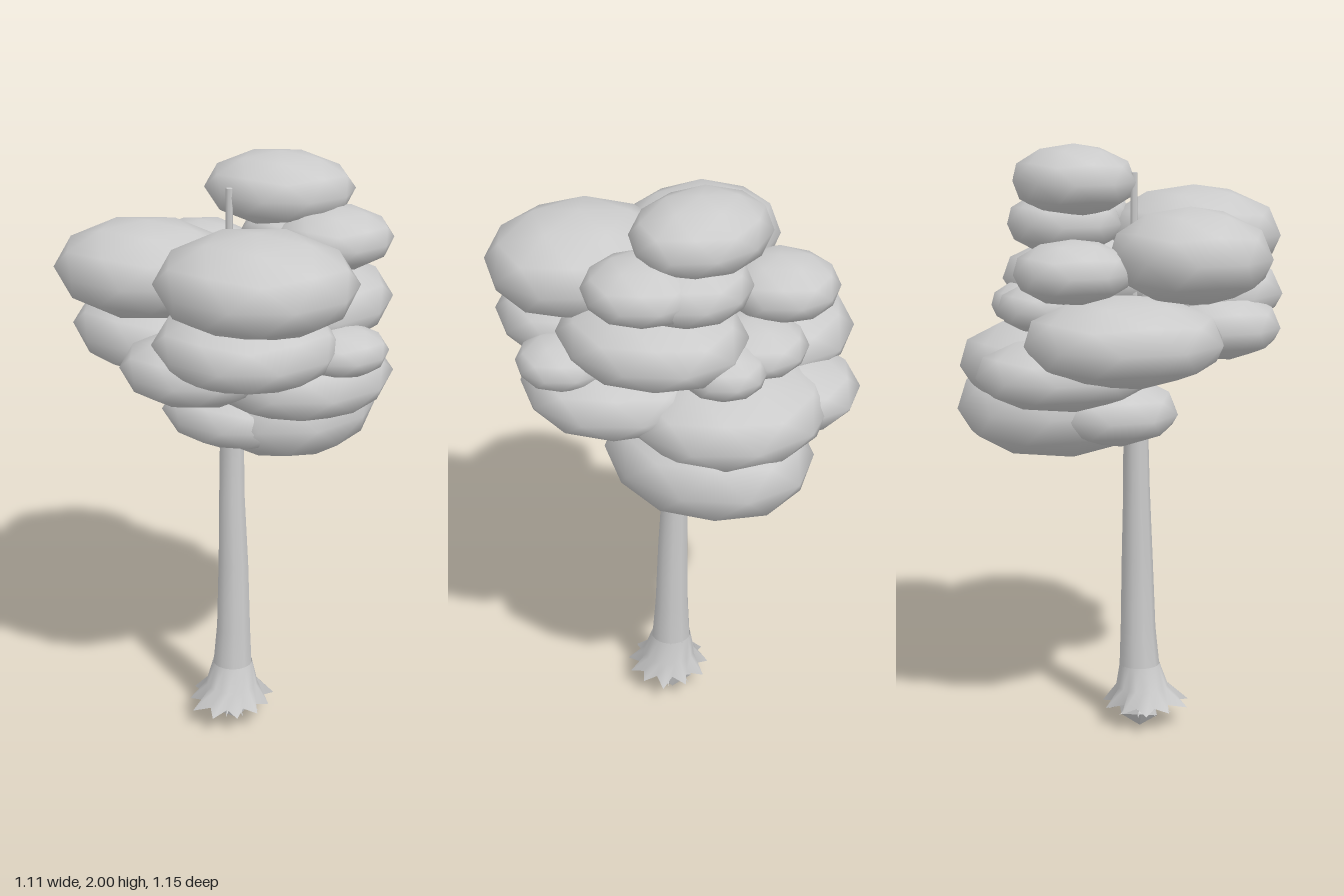
import * as THREE from 'three';

const grey = new THREE.MeshStandardMaterial({ color: 0xcccccc });
const greyThin = new THREE.MeshStandardMaterial({ color: 0xcccccc, side: THREE.DoubleSide });
const greyFlat = new THREE.MeshStandardMaterial({ color: 0xcccccc, flatShading: true });

function seeded(seed) {
  let s = seed;
  return () => (s = (s * 16807) % 2147483647) / 2147483647;
}

function add(group, name, geometry, material = grey) {
  const mesh = new THREE.Mesh(geometry, material);
  mesh.name = name;
  group.add(mesh);
  return mesh;
}

// Skin a stack of rings of points, listed upwards
function skin(rings) {
  const n = rings[0].length, pos = [], idx = [];
  rings.forEach(r => r.forEach(p => pos.push(p.x, p.y, p.z)));
  for (let i = 0; i < rings.length - 1; i++) {
    for (let j = 0; j < n; j++) {
      const a = i * n + j, b = i * n + (j + 1) % n;
      idx.push(a, a + n, b, b, a + n, b + n);
    }
  }
  const g = new THREE.BufferGeometry();
  g.setAttribute('position', new THREE.Float32BufferAttribute(pos, 3));
  g.setIndex(idx);
  g.computeVertexNormals();
  return g;
}

function circle(x, y, z, radius, sides) {
  return Array.from({ length: sides }, (_, j) => {
    const a = (j / sides) * Math.PI * 2;
    return new THREE.Vector3(x + radius * Math.cos(a), y, z + radius * Math.sin(a));
  });
}

// Leaf clumps: centre x, y, z then radii x, y, z
const clumps = [
  [[0.12, 1.88, -0.17], [0.25, 0.12, 0.207]],
  [[0.168, 1.69, 0.27], [0.323, 0.162, 0.3]],
  [[-0.24, 1.66, 0.11], [0.307, 0.157, 0.26]],
  [[0.32, 1.75, -0.10], [0.195, 0.1, 0.19]],
  [[0.2, 1.735, -0.18], [0.21, 0.11, 0.197]],
  [[-0.18, 1.615, -0.265], [0.19, 0.105, 0.195]],
  [[0.24, 1.55, -0.07], [0.28, 0.137, 0.315]],
  [[0.14, 1.495, 0.28], [0.297, 0.132, 0.293]],
  [[-0.03, 1.4, 0.28], [0.24, 0.115, 0.215]],
  [[0.4, 1.46, 0.15], [0.163, 0.082, 0.155]],
  [[0.0, 1.48, -0.28], [0.18, 0.09, 0.185]],
  [[0.18, 1.47, -0.3], [0.137, 0.082, 0.14]],
  [[-0.26, 1.4, -0.12], [0.31, 0.147, 0.33]],
  [[0.25, 1.345, 0.065], [0.308, 0.135, 0.31]],
  [[-0.13, 1.285, -0.285], [0.255, 0.12, 0.29]],
  [[0.08, 1.29, -0.25], [0.345, 0.155, 0.325]],
  [[0.14, 1.135, -0.22], [0.307, 0.182, 0.352]],
  [[0.02, 1.125, -0.085], [0.275, 0.115, 0.235]],
];

export function createModel() {
  const tree = new THREE.Group();
  tree.name = 'tree';
  const rand = seeded(421);

  // Canopy of flattened, smooth low-poly balls with a corner at each pole
  const canopy = new THREE.Group();
  canopy.name = 'canopy';
  tree.add(canopy);
  const ball = new THREE.IcosahedronGeometry(1, 1);
  ball.rotateZ(-Math.atan(2 / (1 + Math.sqrt(5))));
  clumps.forEach(([centre, radii], i) => {
    const mesh = add(canopy, `leafClump${i + 1}`, ball);
    mesh.position.set(...centre);
    mesh.scale.set(...radii);
  });

  // Trunk: x, y, z, radius, tapering up to the lowest clumps
  const trunk = [
    [0.02, 0.08, 0.03, 0.08], [0.02, 0.2, 0.027, 0.07], [0.022, 0.35, 0.022, 0.06],
    [0.02, 0.6, 0.018, 0.053], [0.013, 0.85, 0.013, 0.045], [0.012, 1.05, 0.01, 0.042],
  ];
  add(tree, 'trunk', skin(trunk.map(([x, y, z, r]) => circle(x, y, z, r, 10))));

  // Thin stem rising through the canopy
  const stem = add(tree, 'stem', new THREE.CylinderGeometry(0.012, 0.012, 0.64, 6));
  stem.position.set(0, 1.59, 0);

  // Ragged flare of roots: alternate rim points reach out or draw in
  const sides = 22;
  const rim = circle(0, 0, 0, 1, sides).map((p, j) => {
    const reach = j % 2 ? 0.095 + rand() * 0.02 : 0.135 + rand() * 0.025;
    return new THREE.Vector3(0.022 + p.x * reach, j % 2 ? 0.085 : 0.075, 0.045 + p.z * reach);
  });
  add(tree, 'rootFlare', skin([
    rim,
    circle(0.02, 0.14, 0.036, 0.09, sides),
    circle(0.02, 0.22, 0.027, 0.069, sides),
  ]), greyThin);

  // Faceted root ball under the flare
  const rootBall = add(tree, 'rootBall', new THREE.IcosahedronGeometry(1, 0), greyFlat);
  rootBall.position.set(0.02, 0.06, 0.02);
  rootBall.rotation.set(0.3, 0.4, 0.1);
  rootBall.scale.set(0.075, 0.06, 0.075);

  // Thin loose rootlets around the base
  for (let i = 0; i < 9; i++) {
    const a = i * 0.7 + rand() * 0.3;
    const rootlet = add(tree, `rootlet${i + 1}`, new THREE.ConeGeometry(0.012, 0.09, 4), greyFlat);
    rootlet.position.set(0.02 + Math.cos(a) * 0.07, 0.07, 0.035 + Math.sin(a) * 0.07);
    rootlet.rotation.set(0, -a, -1.9, 'YXZ');
  }
  return tree;
}
